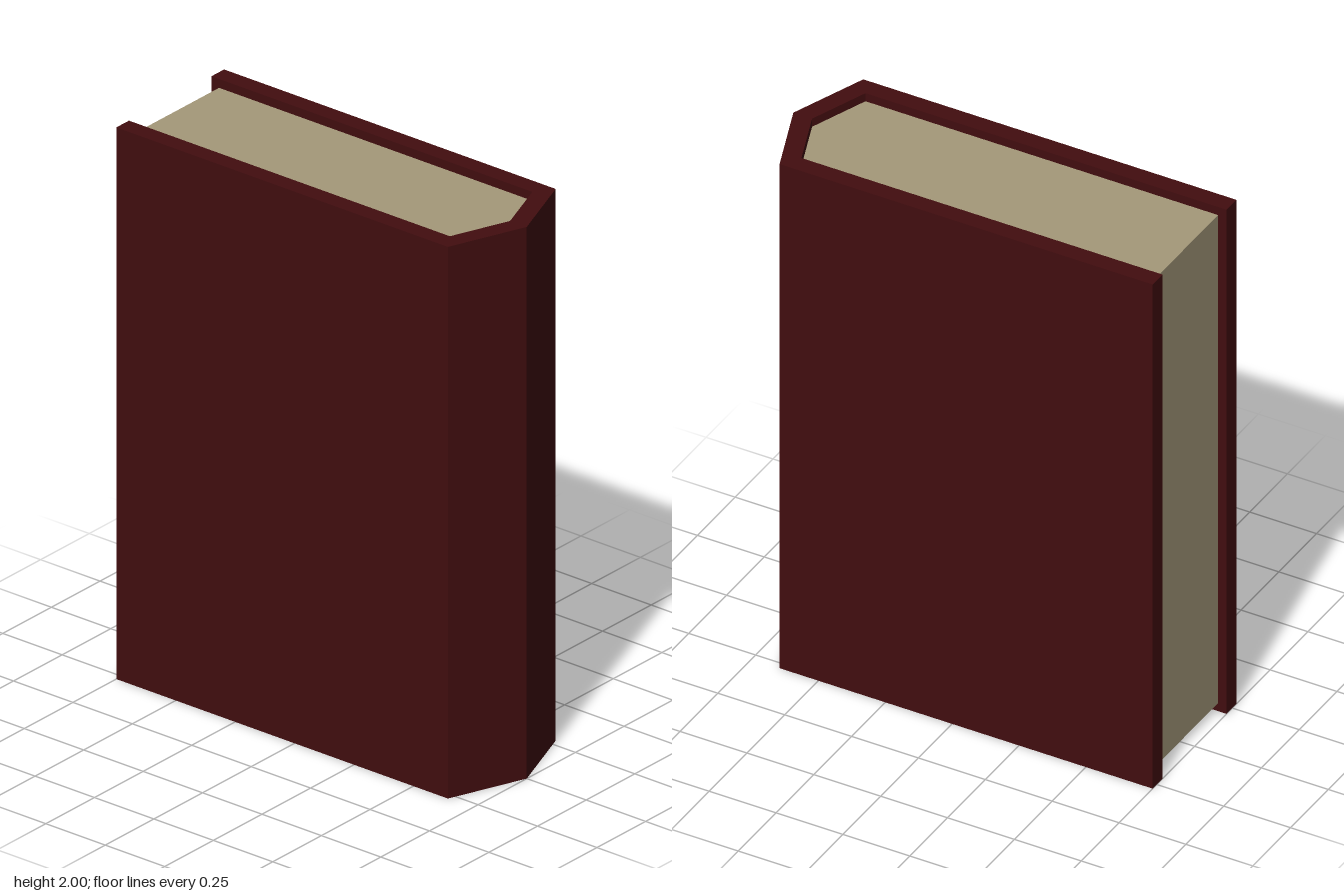
import * as THREE from 'three';

const OUTER = 0.277, INNER = 0.212; // half widths outside and inside the cover
const BACK = -0.75, INSET = 0.032;  // open edge of the cover, and how far the pages sit back

// Extrude an [x, z] outline upwards from y0 to y1
function upright(name, outline, y0, y1, color) {
  const shape = new THREE.Shape(outline.map(([x, z]) => new THREE.Vector2(x, z)));
  const geometry = new THREE.ExtrudeGeometry(shape, { depth: y1 - y0, bevelEnabled: false });
  geometry.rotateX(Math.PI / 2);
  geometry.translate(0, y1, 0);
  const mesh = new THREE.Mesh(geometry, new THREE.MeshStandardMaterial({ color, flatShading: true }));
  mesh.name = name;
  return mesh;
}

export function createModel() {
  const book = new THREE.Group();
  book.name = 'book';

  // Two boards joined by a pointed spine
  const outside = [[-OUTER, BACK], [-OUTER, 0.645], [0, 0.75], [OUTER, 0.645], [OUTER, BACK]];
  const inside = [[INNER, BACK], [INNER, 0.6], [0, 0.68], [-INNER, 0.6], [-INNER, BACK]];
  book.add(upright('cover', [...outside, ...inside], 0, 2, 0x420d0f));

  // Page block filling the cover, set back from its edges
  const pages = inside.map(([x, z]) => [x, Math.max(z, BACK + INSET)]);
  book.add(upright('pages', pages, INSET, 2 - INSET, 0xa5997a));

  return book;
}
